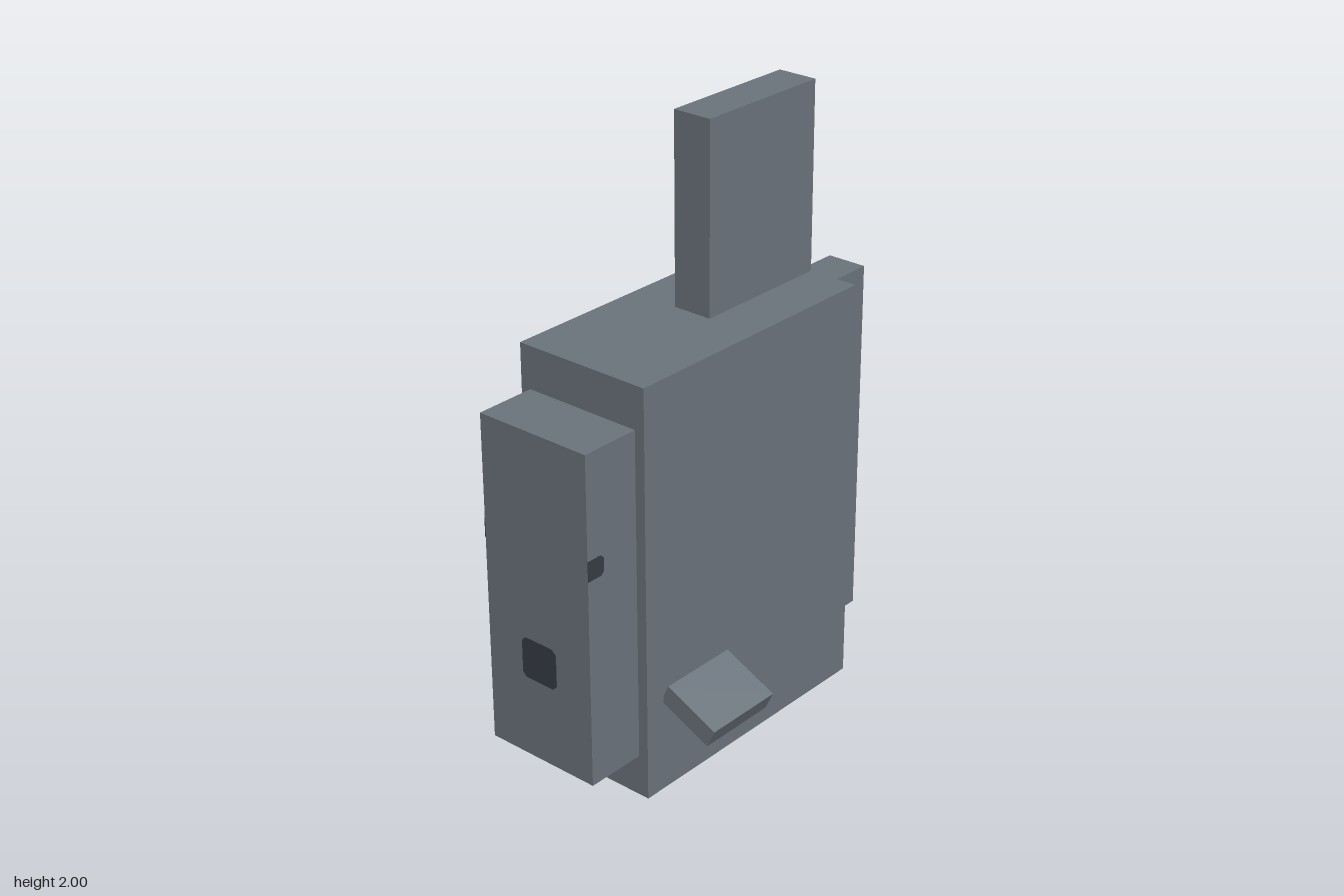
import * as THREE from 'three';

export function createModel() {
  const model = new THREE.Group();
  const slate = new THREE.MeshStandardMaterial({ color: 0x6c757d });
  slate.name = 'slate grey';
  const dark = new THREE.MeshStandardMaterial({ color: 0x383d46 });
  dark.name = 'dark grey';

  // Box given by its half width and its y and z ranges
  function block(name, halfWidth, y0, y1, z0, z1) {
    const mesh = new THREE.Mesh(new THREE.BoxGeometry(halfWidth * 2, y1 - y0, z1 - z0), slate);
    mesh.position.set(0, (y0 + y1) / 2, (z0 + z1) / 2);
    mesh.name = name;
    model.add(mesh);
  }

  // Thin plate facing +z, with a chamfer at left and right corners
  function plate(name, w, h, left, right) {
    const x = w / 2, y = h / 2;
    const outline = [
      [-x + left, -y], [x - right, -y], [x, -y + right], [x, y - right],
      [x - right, y], [-x + left, y], [-x, y - left], [-x, -y + left],
    ].map(([a, b]) => new THREE.Vector2(a, b));
    const geometry = new THREE.ExtrudeGeometry(new THREE.Shape(outline), { depth: 0.003, bevelEnabled: false });
    const mesh = new THREE.Mesh(geometry, dark);
    mesh.name = name;
    return mesh;
  }

  block('body', 0.24, 0, 1.38, -0.45, 0.52);
  block('head', 0.205, 0.14, 1.24, 0.52, 0.725);
  block('topFin', 0.068, 1.38, 2, -0.45, 0.035);
  block('tailJoint', 0.103, 0.55, 0.83, -0.518, -0.45);
  block('lowerRearFin', 0.067, 0, 0.415, -0.585, -0.45);
  block('tailFin', 0.069, 0.07, 1.31, -0.725, -0.515);

  // Mouth on the front of the head
  const mouth = plate('mouth', 0.137, 0.137, 0.014, 0.014);
  mouth.position.set(0, 0.483, 0.724);
  model.add(mouth);

  for (const side of [1, -1]) {
    const label = side > 0 ? 'left' : 'right';

    // Eye at the front edge of the head side, rounded towards the rear
    const eye = plate(label + 'Eye', 0.066, 0.066, side > 0 ? 0 : 0.012, side > 0 ? 0.012 : 0);
    eye.rotation.y = side * Math.PI / 2;
    eye.position.set(side * 0.204, 0.868, 0.692);
    model.add(eye);

    // Drooping side fin with a dark patch underneath
    const fin = new THREE.Group();
    fin.name = label + 'SideFin';
    const blade = new THREE.Mesh(new THREE.BoxGeometry(0.2, 0.068, 0.275), slate);
    blade.name = label + 'FinBlade';
    const patch = plate(label + 'FinPatch', 0.07, 0.137, 0.01, 0.01);
    patch.rotation.x = Math.PI / 2;
    patch.position.y = -0.033;
    fin.add(blade, patch);
    fin.position.set(side * 0.336, 0.302, 0.31);
    fin.rotation.z = -side * THREE.MathUtils.degToRad(25);
    model.add(fin);
  }

  return model;
}
